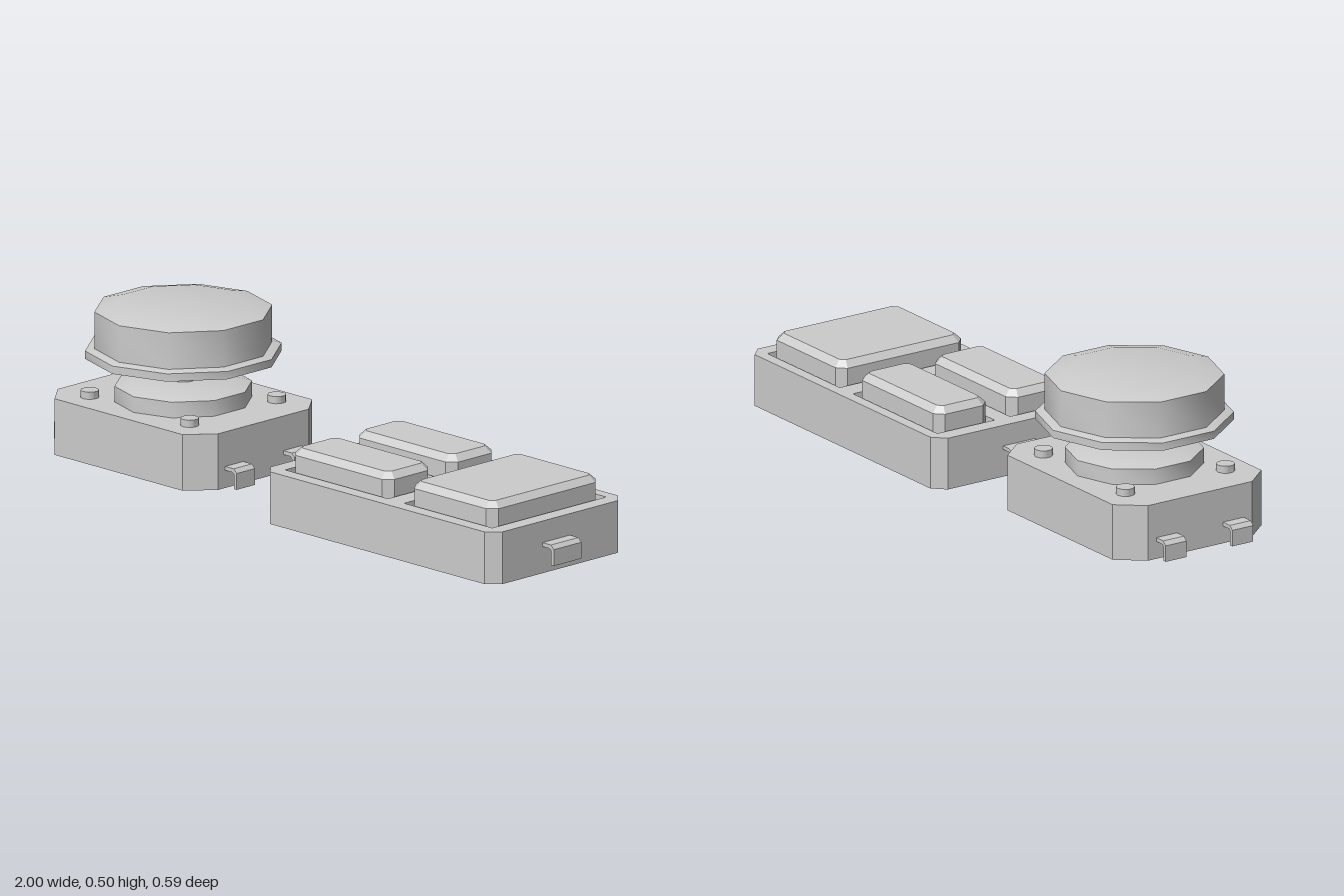
import * as THREE from 'three';
import { toCreasedNormals } from 'three/addons/utils/BufferGeometryUtils.js';

const grey = new THREE.MeshStandardMaterial({ color: 0xcccccc });
grey.name = 'plain grey';

function add(parent, name, geometry, x = 0, y = 0, z = 0) {
  const mesh = new THREE.Mesh(geometry, grey);
  mesh.name = name;
  mesh.position.set(x, y, z);
  parent.add(mesh);
  return mesh;
}

// Rectangle with cut corners, drawn in plan (shape y = -z)
function cutRect(x0, x1, z0, z1, cx, cz = cx, Type = THREE.Shape) {
  return new Type([
    [x0 + cx, -z1], [x1 - cx, -z1], [x1, -z1 + cz], [x1, -z0 - cz],
    [x1 - cx, -z0], [x0 + cx, -z0], [x0, -z0 - cz], [x0, -z1 + cz],
  ].map(([x, y]) => new THREE.Vector2(x, y)));
}

// Upright slab from a plan shape
function slab(shape, height) {
  return new THREE.ExtrudeGeometry(shape, { depth: height, bevelEnabled: false }).rotateX(-Math.PI / 2);
}

// Ten-sided turned part with smooth sides and sharp rims
function turned(points, sides = 10) {
  const profile = points.map(([r, y]) => new THREE.Vector2(r, y));
  return toCreasedNormals(new THREE.LatheGeometry(profile, sides), 0.68);
}

// Flat metal strip: side profile in x/y, extruded across z
function strip(points, width) {
  const shape = new THREE.Shape(points.map(([x, y]) => new THREE.Vector2(x, y)));
  return new THREE.ExtrudeGeometry(shape, { depth: width, bevelEnabled: false }).translate(0, 0, -width / 2);
}

// Pin leaving a wall at x = 0 and bending down
const bentPin = [
  [-0.02, 0.05], [0.03, 0.05], [0.036, 0.044], [0.036, 0], [0.048, 0],
  [0.048, 0.05], [0.036, 0.062], [-0.02, 0.062],
];
// Pin leaving a wall at x = 0 and curling outward
const curledPin = [
  [0.02, 0.096], [-0.03, 0.096], [-0.046, 0.09], [-0.06, 0.07],
  [-0.06, 0.06], [-0.052, 0.066], [-0.04, 0.08], [-0.028, 0.085], [0.02, 0.085],
];

function createRoundSwitch() {
  const g = new THREE.Group();
  g.name = 'roundSwitch';
  g.position.x = -0.615;

  add(g, 'switchBody', slab(cutRect(-0.336, 0.336, -0.268, 0.268, 0.067, 0.08), 0.172), 0, 0.03);
  add(g, 'collar', turned([[0, 0.198], [0.205, 0.198], [0.205, 0.25], [0.155, 0.264], [0, 0.264]]));
  add(g, 'stem', turned([[0, 0.26], [0.036, 0.26], [0.036, 0.345], [0, 0.345]], 16));
  add(g, 'flange', turned([[0, 0.338], [0.293, 0.338], [0.293, 0.362], [0.275, 0.368], [0, 0.368]]));
  add(g, 'cap', turned([[0, 0.365], [0.265, 0.365], [0.265, 0.48], [0.2, 0.496], [0, 0.497]]));

  // Rivets and pins, mirrored to all four corners
  for (const sx of [-1, 1]) {
    for (const sz of [-1, 1]) {
      add(g, 'rivet', turned([[0, 0.195], [0.028, 0.195], [0.028, 0.224], [0, 0.224]], 10),
        sx * 0.21, 0, sz * 0.18);
      const pin = add(g, 'switchPin', strip(bentPin, 0.075), sx * 0.336, 0.034, sz * 0.12);
      if (sx < 0) pin.rotation.y = Math.PI;
    }
  }
  return g;
}

function createButtonBlock() {
  const g = new THREE.Group();
  g.name = 'buttonBlock';
  const outline = () => cutRect(-0.023, 0.951, -0.293, 0.26, 0.037);
  const floor = 0.12;

  // Pocket extents: x0, x1, z0, z1
  const pockets = [
    ['smallButtonBack', 0.03, 0.462, -0.257, -0.05],
    ['smallButtonFront', 0.03, 0.462, 0.005, 0.214],
    ['largeButton', 0.53, 0.9, -0.257, 0.214],
  ];
  const rim = outline();
  for (const [, ...p] of pockets) rim.holes.push(cutRect(...p, 0.002, 0.002, THREE.Path));
  add(g, 'blockBase', slab(outline(), floor));
  add(g, 'blockRim', slab(rim, 0.16 - floor), 0, floor);

  // Buttons with a bevelled top edge
  const gap = 0.009, bevel = 0.02;
  for (const [name, x0, x1, z0, z1] of pockets) {
    const shape = cutRect(x0 + gap, x1 - gap, z0 + gap, z1 - gap, 0.026);
    const geometry = new THREE.ExtrudeGeometry(shape, {
      depth: 0.11, bevelSegments: 1, bevelSize: bevel, bevelThickness: bevel, bevelOffset: -bevel,
    }).rotateX(-Math.PI / 2);
    add(g, name, geometry, 0, 0.1);
  }

  add(g, 'rightPin', strip(bentPin, 0.114), 0.951, 0.032, 0);
  add(g, 'leftPin', strip(curledPin, 0.114), -0.023, 0, 0);
  return g;
}

export function createModel() {
  const model = new THREE.Group();
  model.name = 'switchSet';
  model.add(createRoundSwitch(), createButtonBlock());
  return model;
}
